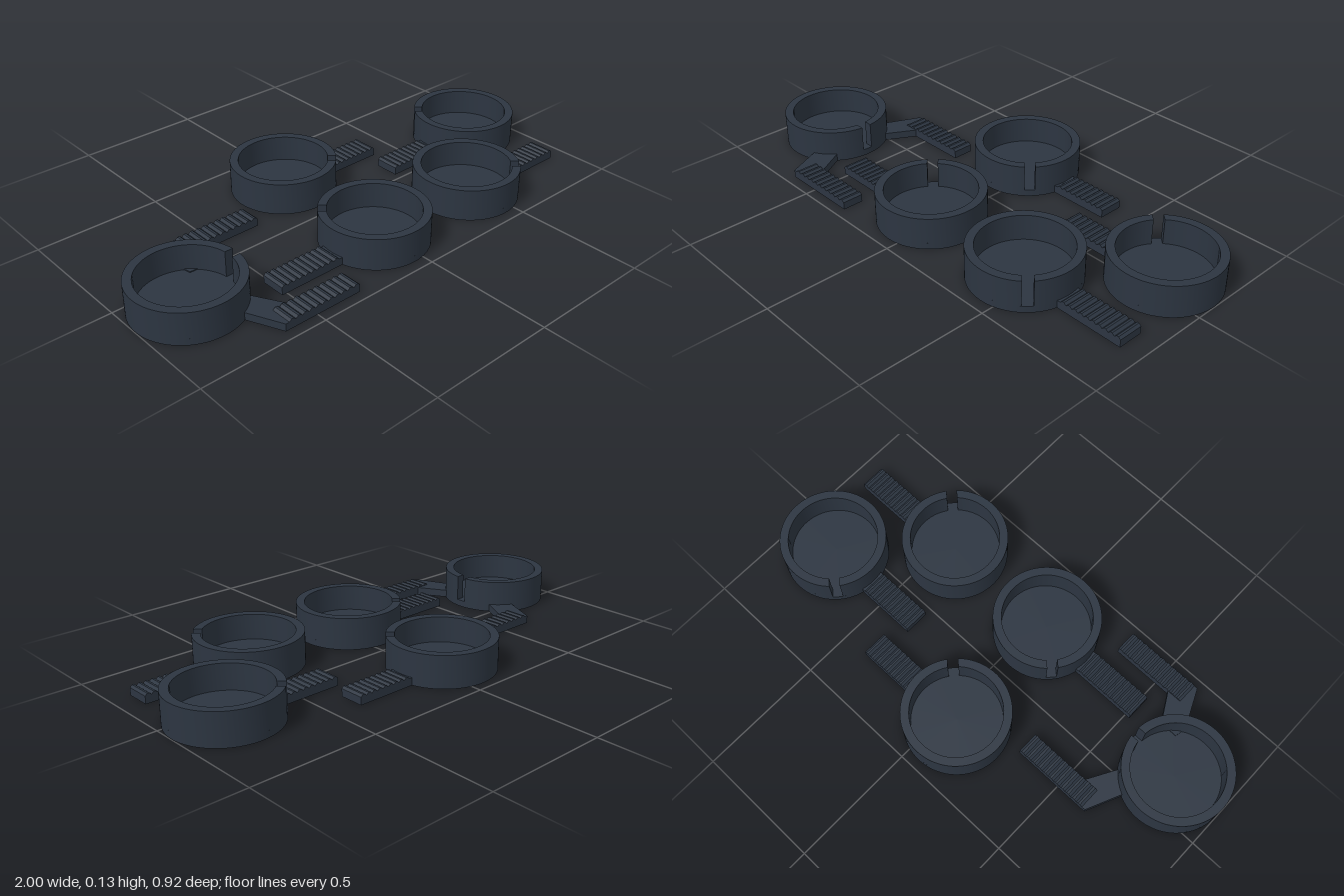
import * as THREE from 'three';
import { toCreasedNormals } from 'three/addons/utils/BufferGeometryUtils.js';

const R = 0.208, INNER = 0.175, H = 0.128, FLOOR = 0.026, BASE = 0.03, TOOTH_TOP = 0.038, PITCH = 0.027;

export function createModel() {
  const model = new THREE.Group();
  const slate = new THREE.MeshStandardMaterial({ color: 0x2c3541 });
  slate.name = 'darkSlate';

  const mesh = (geometry, name, parent) => {
    const m = new THREE.Mesh(geometry, slate);
    m.name = name;
    parent.add(m);
    return m;
  };

  // round cup with a slot cut through its wall
  function addCup(name, x, z, slotAngle) {
    const cup = new THREE.Group();
    cup.name = name;
    cup.position.set(x, 0, z);
    const floor = new THREE.CylinderGeometry(R, R, FLOOR, 96);
    floor.translate(0, FLOOR / 2, 0);
    mesh(floor, 'cupFloor', cup);

    const half = 0.02, a = Math.asin(half / R), b = Math.asin(half / INNER);
    const ring = new THREE.Shape();
    ring.absarc(0, 0, R, a, Math.PI * 2 - a, false);
    ring.absarc(0, 0, INNER, Math.PI * 2 - b, b, true);
    const geo = new THREE.ExtrudeGeometry(ring, { depth: H - FLOOR, bevelEnabled: false, curveSegments: 48 });
    geo.rotateX(-Math.PI / 2);
    geo.translate(0, FLOOR, 0);
    const wall = mesh(toCreasedNormals(geo, 0.6), 'cupWall', cup);
    wall.rotation.y = -slotAngle * Math.PI / 180;
    model.add(cup);
    return cup;
  }

  // strip of triangular teeth from x0 to x1 standing on a solid base
  function toothedStrip(xStart, x0, x1, width, bottom) {
    const s = new THREE.Shape();
    s.moveTo(xStart, bottom);
    s.lineTo(x1, bottom);
    s.lineTo(x1, BASE);
    const n = Math.round((x1 - x0) / PITCH), step = (x1 - x0) / n;
    for (let i = 0; i < n; i++) {
      const x = x1 - i * step;
      s.lineTo(x - step * 0.35, TOOTH_TOP);
      s.lineTo(x - step * 0.65, TOOTH_TOP);
      s.lineTo(x - step, BASE);
    }
    if (xStart < x0) s.lineTo(xStart, BASE);
    const g = new THREE.ExtrudeGeometry(s, { depth: width, bevelEnabled: false });
    g.translate(0, 0, -width / 2);
    return g;
  }

  // four cups with a single straight strap
  const cups = [
    ['backCup', -0.055, -0.258, 1, 0.445],
    ['leftCup', 0.79, -0.08, -1, 0.45],
    ['middleCup', -0.045, 0.25, -1, 0.475],
    ['frontCup', 0.445, 0.25, 1, 0.475],
  ];
  for (const [name, x, z, dir, reach] of cups) {
    const cup = addCup(name, x, z, dir > 0 ? 42 : 222);
    const strap = mesh(toothedStrip(0.19, 0.215, reach, 0.1, 0), 'toothedStrap', cup);
    strap.rotation.y = dir > 0 ? 0 : Math.PI;
  }

  // end cup with two bent arms, mirrored across its centre line
  const endZ = 0.137;
  const endCup = addCup('endCup', -0.79, endZ, 0);
  for (const side of [-1, 1]) {
    const arm = new THREE.Group();
    arm.name = side < 0 ? 'backArm' : 'frontArm';
    // outline measured from the cup centre, outward distance second
    const outline = [[0.48, 0.322], [0.155, 0.322], [0.085, 0.167], [0.095, 0.122],
      [0.165, 0.122], [0.23, 0.237], [0.48, 0.237]];
    const shape = new THREE.Shape(outline.map(([x, d]) => new THREE.Vector2(x, -side * d)));
    const geo = new THREE.ExtrudeGeometry(shape, { depth: BASE, bevelEnabled: false });
    geo.rotateX(-Math.PI / 2);
    mesh(geo, 'bentArm', arm);
    const teeth = mesh(toothedStrip(0.17, 0.17, 0.48, 0.085, BASE - 0.004), 'armTeeth', arm);
    teeth.position.z = side * 0.2795;
    endCup.add(arm);
  }

  return model;
}
